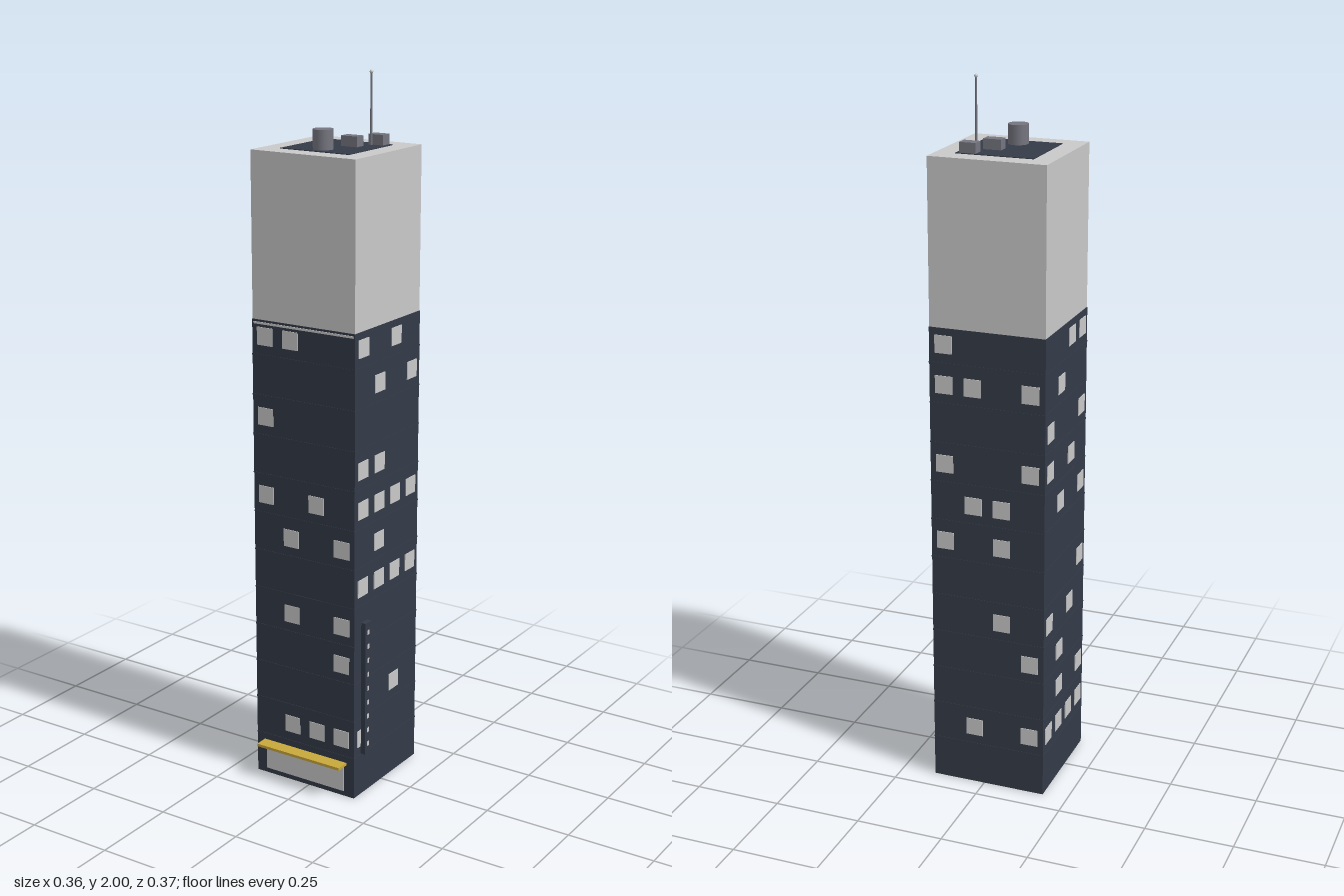
import * as THREE from 'three';

const makeMaterial = (name, color) => {
  const m = new THREE.MeshStandardMaterial({ color });
  m.name = name;
  return m;
};

export function createModel() {
  const wall = makeMaterial('dark slate', 0x343b48);
  const light = makeMaterial('pale grey', 0xc9c9c9);
  const metal = makeMaterial('roof grey', 0x74757f);
  const gold = makeMaterial('awning gold', 0xc8a83c);

  const model = new THREE.Group();
  model.name = 'officeTower';

  const add = (name, geometry, material, x, y, z, parent = model) => {
    const mesh = new THREE.Mesh(geometry, material);
    mesh.name = name;
    mesh.position.set(x, y, z);
    parent.add(mesh);
    return mesh;
  };
  const box = (name, w, h, d, material, x, y, z, parent) =>
    add(name, new THREE.BoxGeometry(w, h, d), material, x, y, z, parent);

  // Tower: dark storeys below, plain pale crown above
  const CX = -0.013, CZ = -0.02, W = 0.33, SPLIT = 1.345, TOP = 1.8;
  box('lowerTower', W, SPLIT, W, wall, CX, SPLIT / 2, CZ);
  box('crown', W - 0.002, TOP - SPLIT, W - 0.002, light, CX, (TOP + SPLIT) / 2, CZ);

  // Thin ledges between the storeys
  const PITCH = 0.1125;
  for (let i = 0; i < 11; i++) {
    box('floorLedge', W + 0.002, 0.004, W + 0.002, wall, CX, 0.122 + i * PITCH, CZ);
  }

  // Lit windows: each row lists the lit columns, left to right as seen from outside
  const facades = [
    { name: 'frontWindows', turn: 0,
      rows: { 0: [1, 2, 3], 2: [3], 3: [1, 3], 5: [1, 3], 6: [0, 2], 8: [0], 10: [0, 1] } },
    { name: 'leftWindows', turn: Math.PI / 2,
      rows: { 0: [0], 1: [2], 4: [0, 1, 2, 3], 5: [1], 6: [0, 1, 2, 3], 7: [0, 1], 9: [1, 3], 10: [0, 2] } },
    { name: 'backWindows', turn: Math.PI,
      rows: { 0: [1, 3], 2: [3], 3: [2], 5: [0, 2], 6: [1, 2], 7: [0, 3], 9: [0, 1, 3], 10: [0] } },
    { name: 'rightWindows', turn: -Math.PI / 2,
      rows: { 0: [0, 1, 2, 3], 1: [1, 3], 2: [1], 3: [0, 2], 4: [3], 6: [1, 3], 7: [0, 2], 8: [0, 3], 9: [1], 10: [2, 3] } },
  ];
  const pane = new THREE.BoxGeometry(0.05, 0.05, 0.004);
  for (const { name, turn, rows } of facades) {
    const facade = new THREE.Group();
    facade.name = name;
    facade.position.set(CX, 0, CZ);
    facade.rotation.y = turn;
    for (const [row, columns] of Object.entries(rows)) {
      for (const c of columns) {
        add('litWindow', pane, light, (c - 1.5) * 0.0825, 0.175 + row * PITCH, W / 2, facade);
      }
    }
    model.add(facade);
  }

  // Light strip at the top of the front storeys
  const front = CZ + W / 2;
  box('frontLightStrip', W - 0.01, 0.006, 0.004, light, CX, 1.336, front);

  // Entrance and awning
  box('entrance', 0.264, 0.077, 0.004, light, CX, 0.053, front);
  box('awning', 0.279, 0.008, 0.039, gold, CX, 0.1, front + 0.0195);

  // Blade sign standing off the left side, with small lit marks
  box('bladeSign', 0.014, 0.395, 0.03, wall, 0.17, 0.333, 0.112);
  for (let i = 0; i < 9; i++) {
    box('signLight', 0.0145, 0.014, 0.009, light, 0.17, 0.165 + i * 0.042, 0.112);
  }

  // Roof deck and equipment
  box('roofDeck', 0.216, 0.004, 0.216, wall, CX, TOP, CZ);
  add('waterTank', new THREE.CylinderGeometry(0.028, 0.028, 0.055, 16), metal, CX, TOP + 0.0275, 0.045);
  box('roofUnit', 0.05, 0.03, 0.032, metal, 0.02, TOP + 0.015, -0.044);
  box('roofUnit', 0.046, 0.03, 0.032, metal, 0.062, TOP + 0.015, -0.11);
  add('antenna', new THREE.CylinderGeometry(0.0025, 0.0035, 0.196, 8), metal, 0.053, TOP + 0.098, -0.086);
  add('antennaTip', new THREE.SphereGeometry(0.005, 10, 8), light, 0.053, 1.995, -0.086);

  return model;
}
